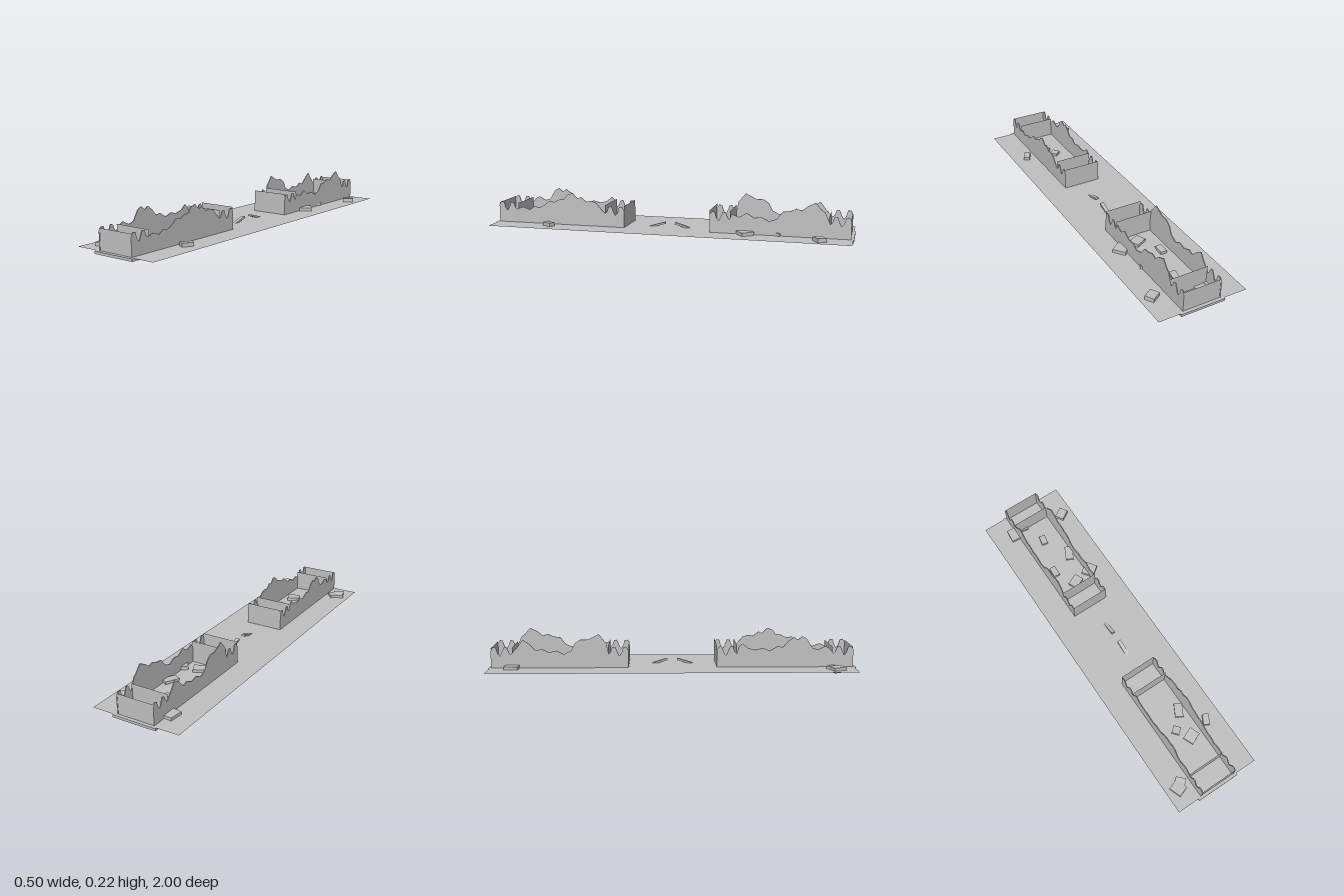
import * as THREE from 'three';

const stone = new THREE.MeshStandardMaterial({ color: 0xc0c0c0, side: THREE.DoubleSide });
stone.name = 'grey stone';
const GROUND = 0.035;

function add(parent, geometry, name, x = 0, y = 0, z = 0) {
  const mesh = new THREE.Mesh(geometry, stone);
  mesh.name = name;
  mesh.position.set(x, y, z);
  parent.add(mesh);
  return mesh;
}

// Broken teeth of the short corner stretches: distance from the ruin's end, height
const teeth = [[0, 0.13], [0.012, 0.15], [0.028, 0.148], [0.038, 0.115], [0.05, 0.1],
  [0.06, 0.12], [0.072, 0.15], [0.088, 0.147], [0.098, 0.12], [0.108, 0.11]];

// Broken tops of the long middle stretches: |z|, height
const crests = {
  frontLeft: [[0.37, 0.13], [0.40, 0.165], [0.43, 0.175], [0.46, 0.17], [0.49, 0.195], [0.51, 0.185],
    [0.54, 0.215], [0.57, 0.205], [0.59, 0.18], [0.62, 0.175], [0.65, 0.16], [0.68, 0.165],
    [0.71, 0.14], [0.74, 0.125], [0.77, 0.13], [0.8, 0.11], [0.84, 0.125]],
  frontRight: [[0.36, 0.15], [0.38, 0.165], [0.41, 0.14], [0.45, 0.13], [0.49, 0.14], [0.53, 0.125],
    [0.57, 0.15], [0.6, 0.145], [0.63, 0.18], [0.66, 0.2], [0.68, 0.185], [0.705, 0.205],
    [0.73, 0.19], [0.76, 0.14], [0.79, 0.13], [0.83, 0.15], [0.85, 0.14]],
  backLeft: [[0.36, 0.14], [0.4, 0.125], [0.44, 0.15], [0.48, 0.125], [0.52, 0.13], [0.56, 0.11],
    [0.6, 0.125], [0.63, 0.165], [0.67, 0.17], [0.7, 0.185], [0.73, 0.175], [0.76, 0.2],
    [0.8, 0.22], [0.83, 0.185], [0.85, 0.17]],
  backRight: [[0.36, 0.17], [0.385, 0.2], [0.4, 0.22], [0.43, 0.205], [0.46, 0.19], [0.5, 0.19],
    [0.53, 0.17], [0.55, 0.13], [0.59, 0.11], [0.63, 0.13], [0.67, 0.12], [0.71, 0.14],
    [0.74, 0.13], [0.78, 0.17], [0.81, 0.19], [0.84, 0.15]],
};

// Thin upright wall with a ragged top, running along z
function brokenWall(crest, end, side) {
  const near = 0.24, far = 0.985, thick = 0.005;
  const top = [
    ...teeth.map(([d, h]) => [near + d, h]),
    ...crest,
    ...teeth.map(([d, h]) => [far - d, h]).reverse(),
  ];
  const points = [[near, GROUND], ...top, [far, GROUND]]
    .map(([z, y]) => new THREE.Vector2(-end * z, y));
  const geometry = new THREE.ExtrudeGeometry(new THREE.Shape(points), { depth: thick, bevelEnabled: false });
  geometry.translate(0, 0, -thick / 2);
  geometry.rotateY(Math.PI / 2);
  geometry.translate(side * 0.104, 0, 0);
  return geometry;
}

function ruin(end) {
  const group = new THREE.Group();
  group.name = end > 0 ? 'frontRuin' : 'backRuin';
  const key = end > 0 ? 'front' : 'back';
  add(group, brokenWall(crests[key + 'Left'], end, 1), 'leftBrokenWall');
  add(group, brokenWall(crests[key + 'Right'], end, -1), 'rightBrokenWall');
  // Paired cross walls close off each end
  for (const [z, top] of [[0.24, 0.155], [0.35, 0.155], [0.87, 0.145], [0.983, 0.145]]) {
    const h = top - GROUND;
    add(group, new THREE.PlaneGeometry(0.21, h), 'crossWall', 0, GROUND + h / 2, end * z);
  }
  return group;
}

// Loose blocks: x, z, width, depth, turn, top height
const blocks = [
  [-0.12, -0.87, 0.065, 0.075, -0.1, 0.053], [-0.06, -0.89, 0.06, 0.055, -0.15, 0.05],
  [0.18, -0.83, 0.06, 0.05, 0.55, 0.057], [0, -0.745, 0.035, 0.055, -0.2, 0.05],
  [0.08, -0.59, 0.045, 0.08, -0.45, 0.05], [-0.055, -0.535, 0.035, 0.06, -0.05, 0.052],
  [0.015, -0.415, 0.07, 0.055, 0.45, 0.052], [0.12, -0.435, 0.07, 0.07, 0.65, 0.055],
  [0.065, 0.54, 0.045, 0.075, -0.5, 0.05], [-0.01, 0.625, 0.042, 0.042, 0.7, 0.052],
  [0.04, 0.695, 0.07, 0.06, 0.4, 0.052], [0.158, 0.665, 0.035, 0.06, -0.5, 0.056],
  [-0.182, 0.885, 0.06, 0.07, 0.35, 0.053], [-0.155, 0.865, 0.05, 0.055, 0.75, 0.05],
];

export function createModel() {
  const model = new THREE.Group();
  model.name = 'ruinedStreet';

  // Wide ground sheet and the narrower slab beneath it
  const ground = add(model, new THREE.PlaneGeometry(0.495, 1.985), 'groundSheet', -0.0025, GROUND, -0.0025);
  ground.rotation.x = -Math.PI / 2;
  add(model, new THREE.BoxGeometry(0.248, 0.0135, 2), 'foundationSlab', 0, 0.027, 0);

  model.add(ruin(1), ruin(-1));

  // Scattered rubble, sunk through the ground sheet
  const rubble = new THREE.Group();
  rubble.name = 'rubble';
  blocks.forEach(([x, z, w, d, turn, top], i) => {
    const block = add(rubble, new THREE.BoxGeometry(w, 0.028, d), 'rubbleBlock', x, top - 0.015, z);
    block.rotation.set(0.03 * Math.sin(i * 2), turn, 0.03 * Math.cos(i * 3));
  });
  model.add(rubble);

  // Two tilted planks that pierce the ground in the middle
  for (const end of [1, -1]) {
    const plank = add(model, new THREE.BoxGeometry(0.02, 0.01, 0.178), 'tiltedPlank', 0.016, 0.031, end * 0.113);
    plank.rotation.x = end * 0.29;
  }
  return model;
}
